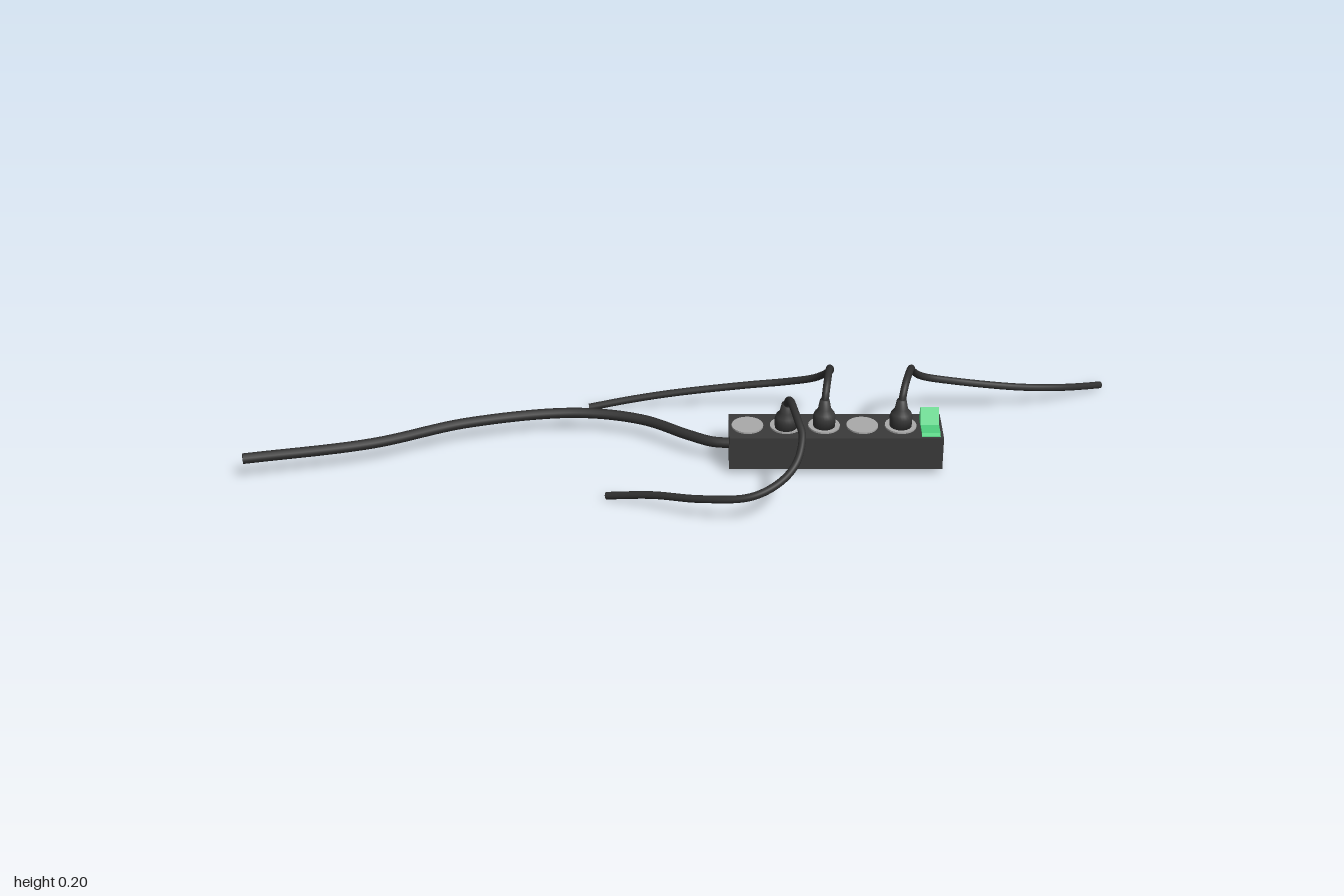
import * as THREE from 'three';

const dark = new THREE.MeshStandardMaterial({ color: 0x3a3a3a });
const cordMat = new THREE.MeshStandardMaterial({ color: 0x303030 });
const grey = new THREE.MeshStandardMaterial({ color: 0xaaaaaa });
const green = new THREE.MeshStandardMaterial({ color: 0x50d080 });

const TOP = 0.092, ROW_Z = 0.029;

function add(parent, name, geometry, material, x = 0, y = 0, z = 0) {
  const mesh = new THREE.Mesh(geometry, material);
  mesh.name = name;
  mesh.position.set(x, y, z);
  parent.add(mesh);
  return mesh;
}

// Round cable through the given points, closed by a disc at each end
function addCable(parent, name, points, radius) {
  const group = new THREE.Group();
  group.name = name;
  const curve = new THREE.CatmullRomCurve3(points.map(p => new THREE.Vector3(...p)), false, 'centripetal');
  add(group, name + 'Sheath', new THREE.TubeGeometry(curve, 90, radius, 12), cordMat);
  for (const t of [0, 1]) {
    const p = curve.getPointAt(t);
    const outward = curve.getTangentAt(t).multiplyScalar(t ? 1 : -1);
    const cap = add(group, name + 'End', new THREE.CircleGeometry(radius, 12), cordMat, p.x, p.y, p.z);
    cap.quaternion.setFromUnitVectors(new THREE.Vector3(0, 0, 1), outward);
  }
  parent.add(group);
}

export function createModel() {
  const model = new THREE.Group();
  model.name = 'powerStrip';

  // Housing
  add(model, 'housing', new THREE.BoxGeometry(0.484, 0.08, 0.112), dark, 0.337, 0.052, ROW_Z);

  // Row of socket faces
  for (let i = 0; i < 5; i++) {
    add(model, 'socket', new THREE.CylinderGeometry(0.036, 0.036, 0.008, 32), grey, 0.137 + i * 0.087, TOP, ROW_Z);
  }

  // Rocker switch: side profile in (z, y), extruded along x
  const profile = [[0.078, 0.09], [0.078, 0.093], [0.07, 0.098], [0.035, 0.098], [0.008, 0.13], [-0.009, 0.092], [-0.009, 0.09]];
  const shape = new THREE.Shape(profile.map(([z, y]) => new THREE.Vector2(-z, y)));
  const rocker = new THREE.ExtrudeGeometry(shape, { depth: 0.042, bevelEnabled: false });
  rocker.rotateY(Math.PI / 2);
  add(model, 'rockerSwitch', rocker, green, 0.53, 0, 0);

  // Plugs with a tapering strain relief
  const plugProfile = [[0, 0], [0.025, 0], [0.026, 0.026], [0.023, 0.036], [0.015, 0.046], [0.011, 0.068], [0, 0.068]];
  const plug = new THREE.LatheGeometry(plugProfile.map(p => new THREE.Vector2(...p)), 24);
  for (const [x, z, tilt] of [[0.224, 0.037, 0.1], [0.311, 0.031, -0.05], [0.485, 0.031, -0.05]]) {
    add(model, 'plug', plug, dark, x, TOP, z).rotation.x = tilt;
  }

  // Supply cable
  addCable(model, 'supplyCable', [
    [-1, 0.057, 0.115], [-0.72, 0.054, 0.043], [-0.505, 0.053, -0.054], [-0.26, 0.051, -0.103],
    [-0.104, 0.05, -0.073], [0, 0.05, -0.005], [0.06, 0.05, 0.028], [0.11, 0.052, 0.036],
  ], 0.012);

  // Appliance cords
  addCable(model, 'frontCord', [
    [0.224, 0.14, 0.041], [0.226, 0.168, 0.052], [0.23, 0.188, 0.08], [0.235, 0.195, 0.12], [0.245, 0.184, 0.167],
    [0.253, 0.167, 0.2], [0.24, 0.13, 0.25], [0.205, 0.1, 0.283], [0.14, 0.076, 0.308],
    [0.03, 0.056, 0.285], [-0.078, 0.036, 0.236], [-0.18, 0.009, 0.195],
  ], 0.0085);
  addCable(model, 'rearCord', [
    [0.311, 0.14, 0.029], [0.313, 0.168, 0.022], [0.317, 0.188, 0], [0.322, 0.195, -0.035], [0.327, 0.182, -0.08],
    [0.33, 0.152, -0.122], [0.298, 0.11, -0.165], [0.233, 0.083, -0.195], [0.136, 0.066, -0.208],
    [-0.024, 0.044, -0.212], [-0.13, 0.027, -0.21], [-0.232, 0.009, -0.203],
  ], 0.0085);
  addCable(model, 'sideCord', [
    [0.485, 0.14, 0.029], [0.488, 0.168, 0.022], [0.495, 0.188, 0], [0.505, 0.195, -0.035], [0.514, 0.182, -0.08],
    [0.522, 0.152, -0.122], [0.55, 0.115, -0.163], [0.617, 0.092, -0.184], [0.778, 0.062, -0.207],
    [0.885, 0.042, -0.24], [0.95, 0.023, -0.28], [0.995, 0.009, -0.312],
  ], 0.0085);

  return model;
}
